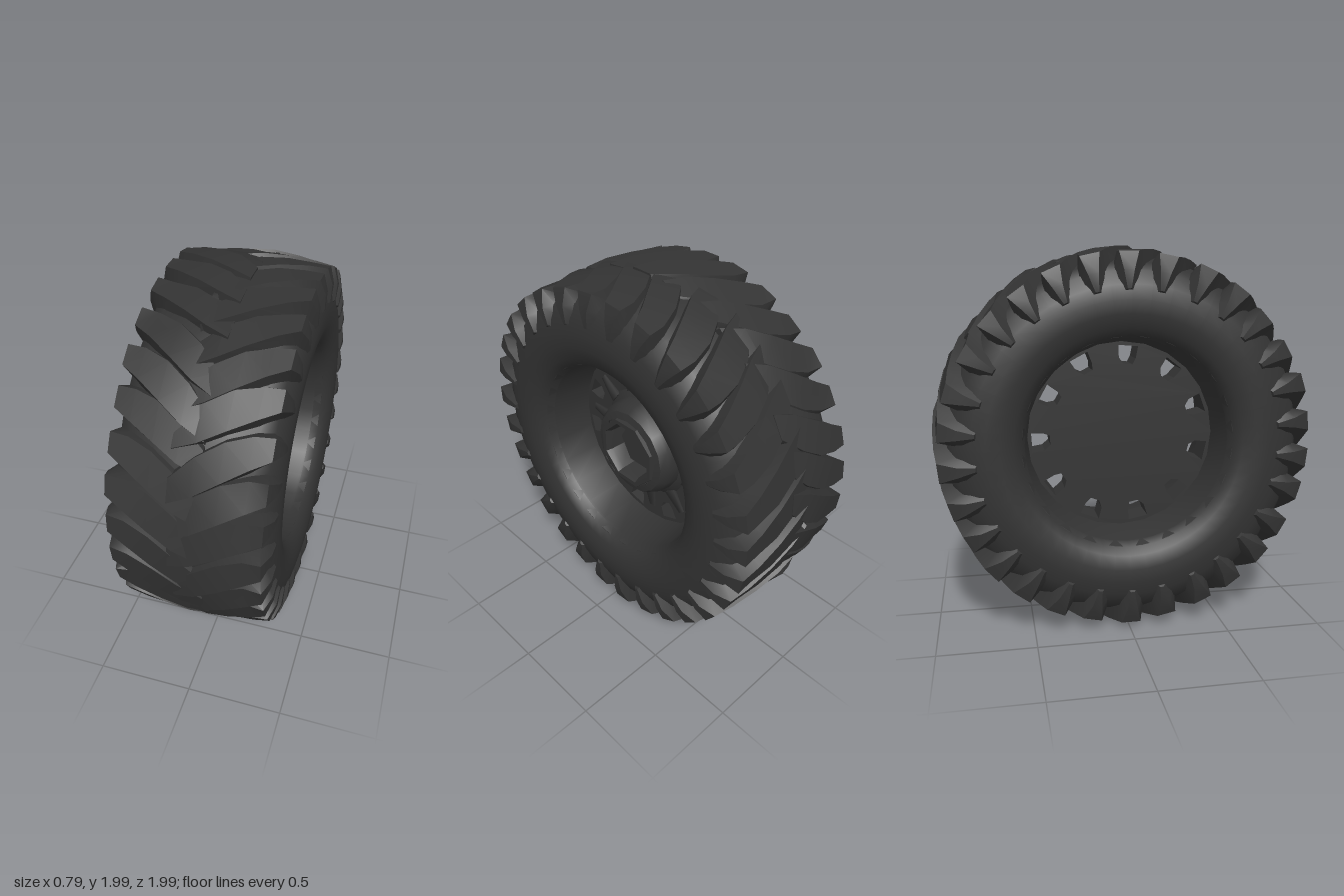
import * as THREE from 'three';
import { mergeGeometries, toCreasedNormals } from 'three/addons/utils/BufferGeometryUtils.js';

const rubber = new THREE.MeshStandardMaterial({ color: 0x333333 });
rubber.name = 'dark rubber';

// small seeded generator for worn, irregular tread
let seed = 7;
const rand = () => (seed = (seed * 16807) % 2147483647) / 2147483647;

const polar = (x, r, a) => [x, r * Math.cos(a), r * Math.sin(a)];

// profile points are [radius, x]; turned about the axle
function turned(name, profile, sides, crease = 0.6, start = 0) {
  const lathe = new THREE.LatheGeometry(profile.map(([r, x]) => new THREE.Vector2(r, x)), sides, start);
  lathe.rotateZ(-Math.PI / 2);
  const mesh = new THREE.Mesh(toCreasedNormals(lathe, crease), rubber);
  mesh.name = name;
  return mesh;
}

// stations of one lug, from tread centre over the shoulder to the sidewall:
// [top x, top radius, base x, base radius, angle, top half width, base half width]
const lugStations = [
  [-0.07, 0.982, -0.07, 0.94, 0.14, 0.06, 0.08],
  [0.04, 0.992, 0.04, 0.94, 0.06, 0.09, 0.105],
  [0.16, 0.985, 0.16, 0.93, -0.02, 0.092, 0.11],
  [0.28, 0.972, 0.28, 0.9, -0.08, 0.075, 0.098],
  [0.37, 0.957, 0.34, 0.86, -0.11, 0.052, 0.08],
  [0.397, 0.87, 0.365, 0.83, -0.115, 0.03, 0.06],
  [0.396, 0.78, 0.38, 0.77, -0.115, 0.012, 0.03],
];

function lugGeometry(angle, side) {
  const lift = (rand() - 0.5) * 0.016;
  const twist = (rand() - 0.5) * 0.1;
  const tilt = rand() * 0.03;
  const rings = lugStations.map(([tx, tr, bx, br, a, tw, bw], i) => {
    const c = angle + a + twist * Math.max(0.2, 1 - i * 0.25);
    const top = tr + (i < 5 ? lift : 0);
    return [
      polar(side * bx, br, c - bw), polar(side * tx, top - (i < 4 ? tilt : 0), c - tw),
      polar(side * tx, top, c + tw), polar(side * bx, br, c + bw),
    ];
  });
  const pos = [];
  const quad = (a, b, c, d) => {
    const order = side > 0 ? [a, b, c, a, c, d] : [a, c, b, a, d, c];
    order.forEach((p) => pos.push(...p));
  };
  for (let i = 0; i < rings.length - 1; i++) {
    const p = rings[i], q = rings[i + 1];
    for (let j = 0; j < 3; j++) quad(p[j], p[j + 1], q[j + 1], q[j]);
  }
  const first = rings[0], last = rings[rings.length - 1];
  quad(first[3], first[2], first[1], first[0]);
  quad(last[0], last[1], last[2], last[3]);
  const geo = new THREE.BufferGeometry();
  geo.setAttribute('position', new THREE.Float32BufferAttribute(pos, 3));
  return toCreasedNormals(geo, 0.7);
}

// wheel disc pierced by a ring of tapered windows
function wheelDisc() {
  const count = 11, depth = 0.16;
  const shape = new THREE.Shape();
  shape.absarc(0, 0, 0.515, 0, Math.PI * 2, false);
  for (let i = 0; i < count; i++) {
    const a = THREE.MathUtils.degToRad(28) + (i * Math.PI * 2) / count;
    const corners = [[0.385, -0.08], [0.42, -0.11], [0.485, -0.11], [0.485, 0.11], [0.42, 0.11], [0.385, 0.05]];
    shape.holes.push(new THREE.Path(corners.map(([r, d]) =>
      new THREE.Vector2(r * Math.sin(a + d), r * Math.cos(a + d)))));
  }
  const geo = new THREE.ExtrudeGeometry(shape, { depth, bevelEnabled: false, curveSegments: 14 });
  geo.translate(0, 0, -0.09);
  geo.rotateY(Math.PI / 2);
  const mesh = new THREE.Mesh(geo, rubber);
  mesh.name = 'wheelDisc';
  return mesh;
}

export function createModel() {
  const model = new THREE.Group();
  model.name = 'offRoadWheel';
  const wheel = new THREE.Group();
  wheel.name = 'wheel';
  wheel.position.y = 1;
  model.add(wheel);

  // tyre body, symmetric about its middle
  const half = [
    [0.53, 0.3], [0.55, 0.345], [0.59, 0.375], [0.66, 0.394], [0.73, 0.394],
    [0.8, 0.38], [0.87, 0.35], [0.91, 0.29], [0.945, 0.16],
  ];
  const body = [...half.map(([r, x]) => [r, -x]), [0.955, 0], ...half.slice().reverse()];
  wheel.add(turned('tyreBody', body, 48, 1.2));

  // chevron tread, the two sides staggered by half a pitch
  const lugs = [];
  const count = 30;
  for (const side of [1, -1]) {
    for (let i = 0; i < count; i++) {
      lugs.push(lugGeometry(((i + (side > 0 ? 0 : 0.5)) * Math.PI * 2) / count, side));
    }
  }
  const tread = new THREE.Mesh(mergeGeometries(lugs), rubber);
  tread.name = 'treadLugs';
  wheel.add(tread);

  // rim barrel facing the axle, its lips tucked into the tyre
  wheel.add(turned('rimBarrel', [
    [0.575, 0.345], [0.55, 0.34], [0.53, 0.29], [0.508, 0.07], [0.505, -0.09], [0.53, -0.29], [0.55, -0.34], [0.575, -0.345],
  ], 24));

  wheel.add(wheelDisc());

  // hub: flared base, hollow collar and recessed cap
  wheel.add(turned('hubBase', [[0.33, 0.06], [0.275, 0.1], [0.265, 0.17], [0.24, 0.21], [0.2, 0.22]], 16));
  wheel.add(turned('hubCollar', [
    [0.205, 0.2], [0.2, 0.235], [0.175, 0.235], [0.16, 0.2], [0.155, 0.1],
  ], 8, 0.5, Math.PI / 8));
  const cap = new THREE.Mesh(new THREE.CylinderGeometry(0.14, 0.17, 0.1, 6).rotateZ(-Math.PI / 2), rubber);
  cap.name = 'hubCap';
  cap.position.x = 0.09;
  wheel.add(cap);

  // small ribs on the disc between the windows
  for (let i = 0; i < 11; i++) {
    const a = THREE.MathUtils.degToRad(28) + ((i + 0.5) * Math.PI * 2) / 11;
    const rib = new THREE.Mesh(new THREE.CylinderGeometry(0.03, 0.055, 0.14, 4, 1).rotateY(Math.PI / 4), rubber);
    rib.name = 'discRib';
    rib.scale.x = 0.7;
    rib.position.set(0.06, 0.37 * Math.cos(a), -0.37 * Math.sin(a));
    rib.rotation.x = -a;
    wheel.add(rib);
  }
  return model;
}
